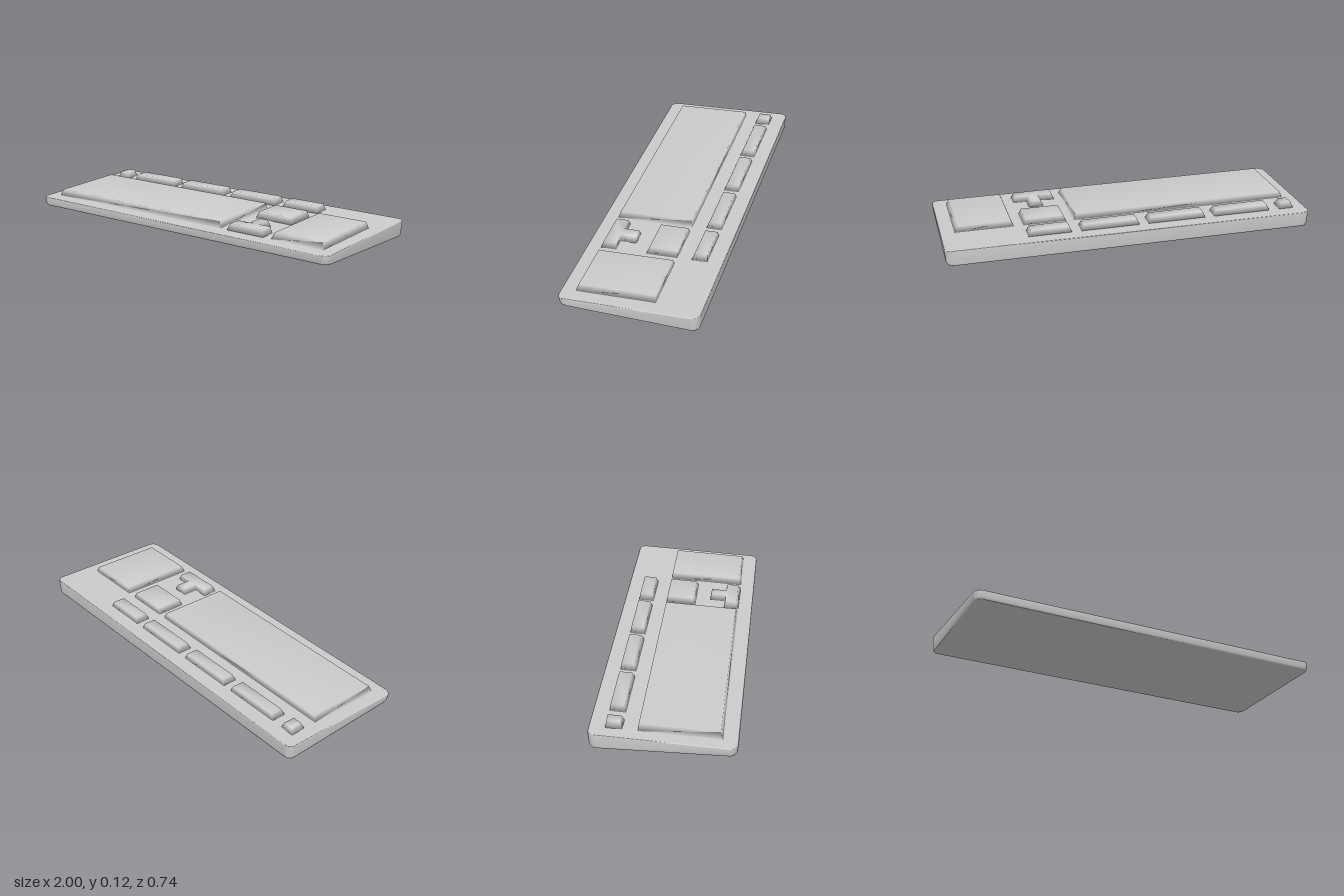
import * as THREE from 'three';

const material = new THREE.MeshStandardMaterial({ color: 0xcccccc });

// Sloping deck height; outlines use (x, w) with w = -z, counter-clockwise from above
const deck = (w) => 0.0665 + 0.0527 * w;

// Smooth closed solid through a stack of outlines, each with its own height rule
function loft(name, layers) {
  const n = layers[0].outline.length;
  const positions = [];
  const index = [];
  layers.forEach(({ outline, height }) => {
    outline.forEach((p) => positions.push(p.x, height(p.y), -p.y));
  });
  for (let l = 0; l < layers.length - 1; l++) {
    for (let i = 0; i < n; i++) {
      const a = l * n + i;
      const b = l * n + (i + 1) % n;
      index.push(a, b, b + n, a, b + n, a + n);
    }
  }
  const cap = (outline, start, flip) => {
    for (const [a, b, c] of THREE.ShapeUtils.triangulateShape(outline, [])) {
      index.push(start + a, start + (flip ? c : b), start + (flip ? b : c));
    }
  };
  cap(layers[0].outline, 0, true);
  cap(layers[layers.length - 1].outline, (layers.length - 1) * n, false);

  const geometry = new THREE.BufferGeometry();
  geometry.setAttribute('position', new THREE.Float32BufferAttribute(positions, 3));
  geometry.setIndex(index);
  geometry.computeVertexNormals();
  const mesh = new THREE.Mesh(geometry, material);
  mesh.name = name;
  return mesh;
}

function roundedOutline(halfX, halfW, r) {
  const points = [];
  const corners = [[1, 1], [-1, 1], [-1, -1], [1, -1]];
  corners.forEach(([sx, sw], c) => {
    for (let i = 0; i <= 5; i++) {
      const t = (c + i / 5) * Math.PI / 2;
      points.push(new THREE.Vector2(
        sx * (halfX - r) + r * Math.cos(t),
        sw * (halfW - r) + r * Math.sin(t)));
    }
  });
  return points;
}

// Inset an axis-aligned outline: steeper at the back, gentler at front and sides
function insetOutline(outline) {
  const n = outline.length;
  return outline.map((p, i) => {
    const q = p.clone();
    for (const [a, b] of [[outline[(i + n - 1) % n], p], [p, outline[(i + 1) % n]]]) {
      const dx = b.x - a.x;
      const dw = b.y - a.y;
      if (Math.abs(dx) > Math.abs(dw)) q.y += dx > 0 ? 0.013 : -0.005;
      else q.x += dw > 0 ? -0.015 : 0.015;
    }
    return q;
  });
}

function keyBlock(name, outline) {
  return loft(name, [
    { outline, height: (w) => deck(w) - 0.001 },
    { outline: insetOutline(outline), height: (w) => deck(w) + 0.035 },
  ]);
}

const points = (list) => list.map(([x, z]) => new THREE.Vector2(x, -z));
const rect = (x0, x1, z0, z1) => points([[x0, z1], [x1, z1], [x1, z0], [x0, z0]]);

export function createModel() {
  const group = new THREE.Group();
  group.name = 'keyboard';

  // Wedge-shaped case with a tucked-in underside
  group.add(loft('case', [
    { outline: roundedOutline(0.99, 0.361, 0.035), height: () => 0 },
    { outline: roundedOutline(0.996, 0.366, 0.04), height: () => 0.01 },
    { outline: roundedOutline(1, 0.37, 0.04), height: (w) => deck(w) - 0.004 },
    { outline: roundedOutline(0.997, 0.367, 0.037), height: deck },
  ]));

  // Function row
  const row = [[-0.93, -0.85], [-0.79, -0.47], [-0.42, -0.10], [-0.05, 0.27], [0.32, 0.555]];
  row.forEach(([x0, x1], i) => {
    group.add(keyBlock(i ? 'functionKeys' + i : 'escapeKey', rect(x0, x1, -0.288, -0.203)));
  });

  // Main typing, navigation and number blocks
  group.add(keyBlock('mainKeys', rect(-0.93, 0.28, -0.128, 0.293)));
  group.add(keyBlock('navigationKeys', rect(0.32, 0.555, -0.128, 0.042)));
  group.add(keyBlock('numberPad', rect(0.605, 0.925, -0.128, 0.293)));

  // Inverted-T arrow cluster
  group.add(keyBlock('arrowKeys', points([
    [0.32, 0.293], [0.555, 0.293], [0.555, 0.208], [0.48, 0.208],
    [0.48, 0.122], [0.397, 0.122], [0.397, 0.208], [0.32, 0.208],
  ])));

  return group;
}
